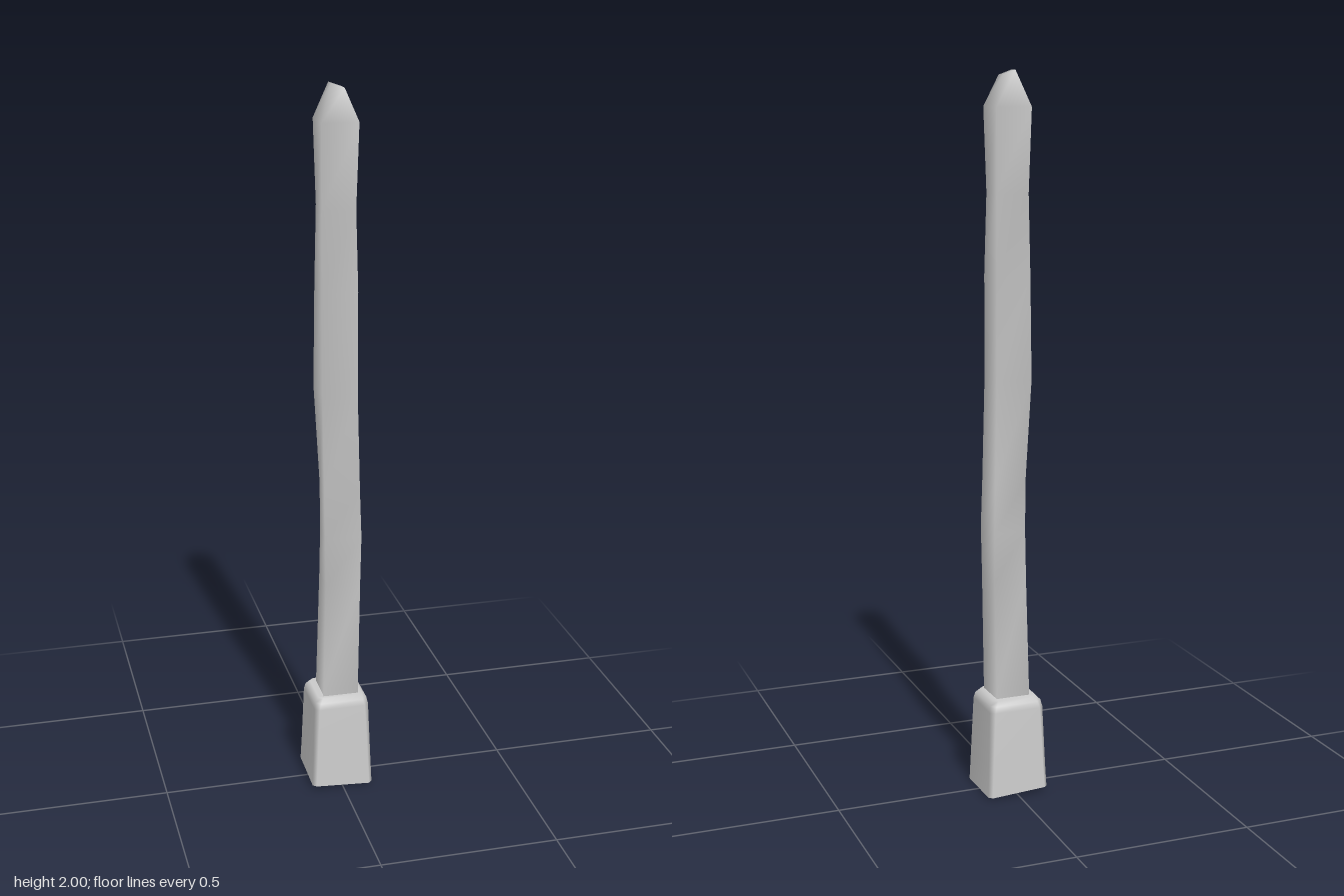
import * as THREE from 'three';

const SIGNS = [[1, 1], [1, -1], [-1, -1], [-1, 1]];

// Lofts closed rings of points (counter-clockwise from above), with smooth normals.
function loft(rings) {
  const n = rings[0].length, index = [];
  for (let i = 0; i < rings.length - 1; i++) {
    for (let j = 0; j < n; j++) {
      const a = i * n + j, b = i * n + (j + 1) % n;
      index.push(a, b, b + n, a, b + n, a + n);
    }
  }
  const top = (rings.length - 1) * n;
  for (let j = 1; j < n - 1; j++) index.push(top, top + j, top + j + 1);
  return finish(rings.flat(2), index);
}

function finish(points, index) {
  const g = new THREE.BufferGeometry();
  g.setAttribute('position', new THREE.Float32BufferAttribute(points, 3));
  g.setIndex(index);
  g.computeVertexNormals();
  return g;
}

// Square ring with chamfered corners.
function chamferedRing(half, cut, yAt) {
  const inner = half - cut;
  const pts = [];
  SIGNS.forEach(([sx, sz]) => {
    const pair = [[sx * inner, sz * half], [sx * half, sz * inner]];
    if (sx * sz < 0) pair.reverse();
    pair.forEach(([x, z]) => pts.push([x, yAt(x, z), z]));
  });
  return pts;
}

export function createModel() {
  const group = new THREE.Group();
  const material = new THREE.MeshStandardMaterial({ color: 0xcccccc });
  const add = (name, geometry) => {
    const mesh = new THREE.Mesh(geometry, material);
    mesh.name = name;
    group.add(mesh);
  };

  // Tapered base block with rounded shoulders and a slightly uneven foot
  const foot = chamferedRing(0.088, 0.01, (x, z) => (x < 0 ? 0.012 : 0.002) + (z > 0 ? -0.002 : 0.002));
  const level = (y) => () => y;
  add('base', loft([
    foot,
    chamferedRing(0.085, 0.011, level(0.08)),
    chamferedRing(0.079, 0.013, level(0.25)),
    chamferedRing(0.075, 0.014, level(0.268)),
    chamferedRing(0.064, 0.012, level(0.28)),
  ]));
  const underside = [];
  for (let j = 1; j < foot.length - 1; j++) underside.push(0, j + 1, j);
  add('baseUnderside', finish(foot.flat(), underside));

  // Hand-hewn square shaft: height, centre x and z, then reach of each corner
  const rows = [
    [0.2, 0.001, 0.003, 0.051, 0.049, 0.048, 0.049],
    [0.3, 0.001, 0.003, 0.051, 0.049, 0.048, 0.049],
    [0.62, 0.009, -0.003, 0.05, 0.05, 0.045, 0.049],
    [0.76, 0.009, -0.006, 0.053, 0.051, 0.042, 0.05],
    [0.9, 0.006, -0.004, 0.051, 0.051, 0.041, 0.049],
    [1.18, 0, 0, 0.049, 0.051, 0.05, 0.049],
    [1.46, 0, 0, 0.049, 0.05, 0.047, 0.05],
    [1.68, 0, 0, 0.044, 0.05, 0.043, 0.05],
    [1.905, 0, 0, 0.05, 0.05, 0.049, 0.05],
  ];
  const rings = rows.map(([y, cx, cz, ...reach]) =>
    SIGNS.map(([sx, sz], k) => [cx + sx * reach[k], y, cz + sz * reach[k]]));

  // Blunt pointed tip, leaning a little to one side
  rings.push(SIGNS.map(([sx, sz]) => [0.002 + sx * 0.018, sx > 0 ? 1.987 : 2, sz * 0.015]));
  add('shaft', loft(rings));

  return group;
}
